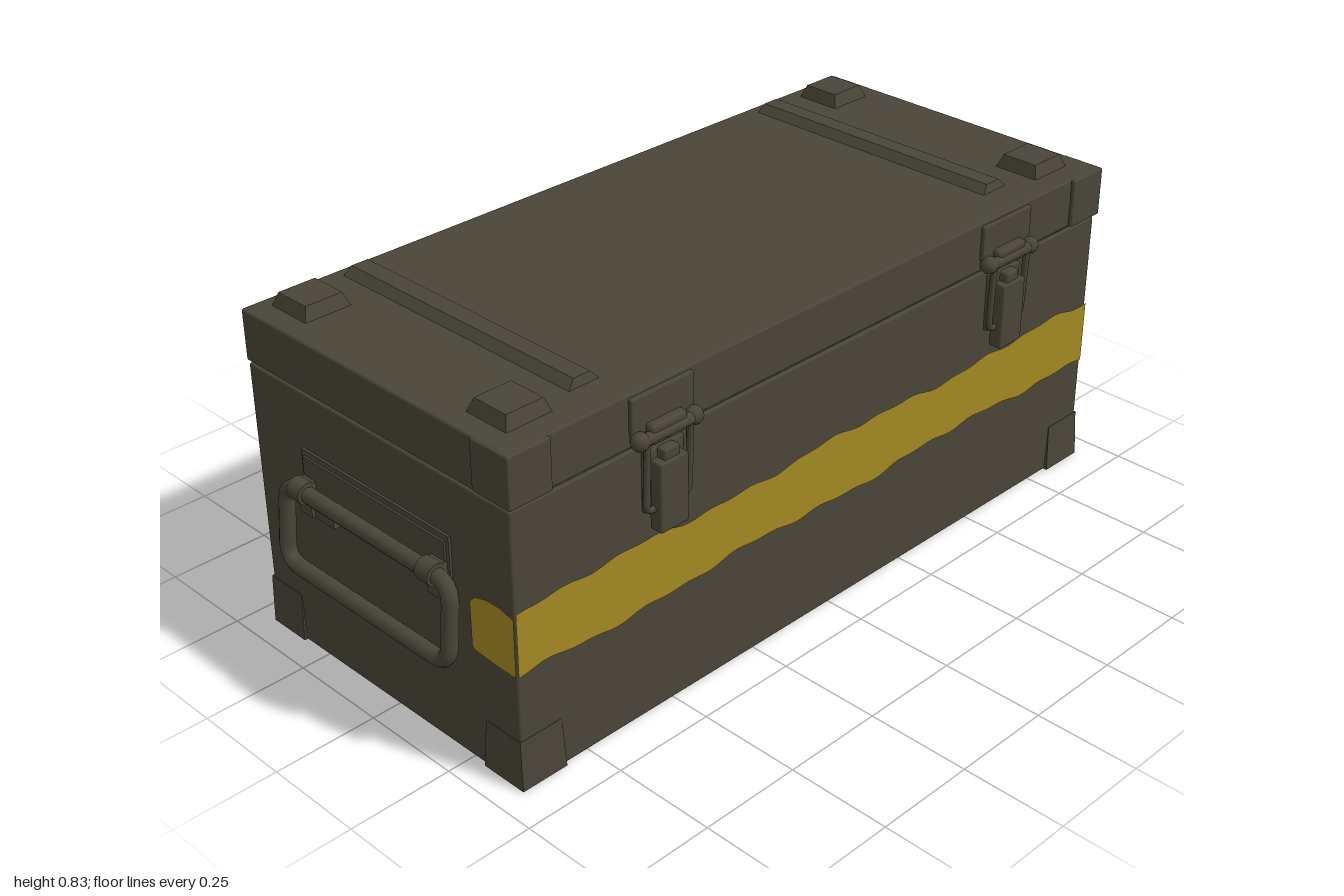
import * as THREE from 'three';
import { RoundedBoxGeometry } from 'three/addons/geometries/RoundedBoxGeometry.js';

const olive = new THREE.MeshStandardMaterial({ color: 0x4a4538 });
olive.name = 'olive paint';
const yellow = new THREE.MeshStandardMaterial({ color: 0xa38922 });
yellow.name = 'yellow stripe';

export function createModel() {
  const root = new THREE.Group();
  root.name = 'storageCase';

  const add = (name, geo, x, y, z, parent = root, mat = olive) => {
    const m = new THREE.Mesh(geo, mat);
    m.name = name;
    m.position.set(x, y, z);
    parent.add(m);
    return m;
  };
  // Box given by its limits, with softened edges when r is set
  const block = (name, x0, x1, y0, y1, z0, z1, parent = root, r = 0) => {
    const w = Math.abs(x1 - x0), h = y1 - y0, d = z1 - z0;
    const geo = r ? new RoundedBoxGeometry(w, h, d, 2, r) : new THREE.BoxGeometry(w, h, d);
    return add(name, geo, (x0 + x1) / 2, (y0 + y1) / 2, (z0 + z1) / 2, parent);
  };
  // Box whose top face is drawn in by an amount on x and z
  const taper = (w, h, d, ix, iz) => {
    const g = new THREE.BoxGeometry(w, h, d), p = g.attributes.position;
    for (let i = 0; i < p.count; i++) {
      if (p.getY(i) > 0) {
        p.setX(i, p.getX(i) - Math.sign(p.getX(i)) * ix);
        p.setZ(i, p.getZ(i) - Math.sign(p.getZ(i)) * iz);
      }
    }
    g.computeVertexNormals();
    return g;
  };
  const rod = (r, len, axis) => {
    const g = new THREE.CylinderGeometry(r, r, len, 14);
    return axis === 'x' ? g.rotateZ(Math.PI / 2) : g.rotateX(Math.PI / 2);
  };
  // Bent wire through corner points with rounded bends
  const wire = (pts, radius, bend) => {
    const path = new THREE.CurvePath(), n = pts.length;
    const toward = (a, b) => a.clone().add(b.clone().sub(a).setLength(bend));
    for (let i = 0; i < n; i++) {
      const a = pts[i], b = pts[(i + 1) % n], c = pts[(i + 2) % n];
      path.add(new THREE.LineCurve3(toward(a, b), toward(b, a)));
      path.add(new THREE.QuadraticBezierCurve3(toward(b, a), b, toward(b, c)));
    }
    return new THREE.TubeGeometry(path, 120, radius, 10, true);
  };

  // Box and lid, with a narrow recessed seam between them
  block('body', -0.93, 0.93, 0, 0.666, -0.438, 0.402, root, 0.006);
  block('seam', -0.922, 0.922, 0.655, 0.685, -0.43, 0.394);
  block('lid', -0.933, 0.933, 0.672, 0.795, -0.44, 0.402, root, 0.006);

  for (const s of [-1, 1]) {
    // Lid corner reinforcements
    block('lidCorner', s * 0.825, s * 0.936, 0.673, 0.794, 0.3, 0.412, root, 0.005);

    // Flared base corners
    for (const [z, out] of [[0.35, 0.01], [-0.386, 0.002]]) {
      const foot = taper(0.12, 0.12, 0.11 + out, 0.004, out * 0.7);
      add('baseCorner', foot, s * 0.876, 0.0605, z);
    }

    // Stacking pads and lid ribs
    for (const z of [0.285, -0.346]) {
      add('stackingPad', taper(0.118, 0.032, 0.118, 0.012, 0.012), s * 0.82, 0.81, z);
    }
    add('lidRib', taper(0.08, 0.02, 0.72, 0.018, 0.006), s * 0.648, 0.805, -0.05);

    // Side handle with its mounting plate and clips
    const handle = new THREE.Group();
    handle.name = s > 0 ? 'leftHandle' : 'rightHandle';
    root.add(handle);
    block('mountPlate', s * 0.925, s * 0.936, 0.405, 0.53, -0.265, 0.218, handle);
    block('mountPanel', s * 0.93, s * 0.941, 0.412, 0.516, -0.256, 0.208, handle);
    const top = s * 0.963, low = s * 0.98;
    add('handleBar', wire([
      new THREE.Vector3(top, 0.447, 0.251),
      new THREE.Vector3(top, 0.447, -0.291),
      new THREE.Vector3(low, 0.26, -0.291),
      new THREE.Vector3(low, 0.26, 0.251),
    ], 0.019, 0.045), 0, 0, 0, handle);
    for (const [z0, z1] of [[0.168, 0.21], [-0.257, -0.215]]) {
      add('clipSleeve', rod(0.026, z1 - z0, 'z'), top, 0.45, (z0 + z1) / 2, handle);
      block('clipTab', s * 0.93, s * 0.958, 0.388, 0.47, z0, z1, handle);
    }
    block('clipBase', s * 0.93, s * 0.95, 0.385, 0.425, -0.257, -0.15, handle);
  }

  // Front latches
  for (const cx of [-0.53, 0.573]) {
    const latch = new THREE.Group();
    latch.name = 'latch';
    latch.position.x = cx;
    root.add(latch);
    block('catchPlate', -0.087, 0.087, 0.7, 0.786, 0.395, 0.412, latch, 0.004);
    block('catchHook', -0.05, 0.05, 0.672, 0.72, 0.4, 0.432, latch, 0.01);
    add('hingeRod', rod(0.014, 0.17, 'x'), 0, 0.692, 0.424, latch);
    for (const s of [-1, 1]) {
      add('rodEnd', new THREE.SphereGeometry(0.021, 14, 10), s * 0.075, 0.692, 0.421, latch);
    }
    add('linkWire', wire([
      new THREE.Vector3(-0.06, 0.69, 0.426),
      new THREE.Vector3(0.06, 0.69, 0.426),
      new THREE.Vector3(0.06, 0.52, 0.42),
      new THREE.Vector3(-0.06, 0.52, 0.42),
    ], 0.008, 0.02), 0, 0, 0, latch);
    block('leverBase', -0.055, 0.055, 0.51, 0.655, 0.395, 0.414, latch, 0.004);
    block('lever', -0.04, 0.04, 0.467, 0.632, 0.408, 0.443, latch, 0.006);
    block('leverRidge', -0.022, 0.022, 0.53, 0.655, 0.41, 0.436, latch, 0.005);
  }

  // Painted band with uneven edges
  const wave = (x, p) => 0.006 * Math.sin(9 * x + p) + 0.004 * Math.sin(23 * x + 2 * p) + 0.003 * Math.sin(47 * x + p);
  const band = (u0, u1, amp, n) => {
    const up = [], down = [];
    for (let i = 0; i <= n; i++) {
      const u = u0 + (u1 - u0) * i / n;
      up.push(new THREE.Vector2(u, 0.434 + amp * wave(u, 1.2)));
      down.unshift(new THREE.Vector2(u, 0.28 + amp * wave(u, 4)));
    }
    return new THREE.ShapeGeometry(new THREE.Shape([...up, ...down]));
  };
  add('frontStripe', band(-0.928, 0.928, 1, 90), 0, 0, 0.4045, root, yellow);
  add('backStripe', band(-0.928, 0.928, 0.2, 40), 0, 0, -0.4405, root, yellow).rotation.y = Math.PI;

  // Short returns of the band on both ends
  for (const s of [-1, 1]) {
    const shape = new THREE.Shape([
      [0.401, 0.28], [0.401, 0.42], [0.36, 0.429], [0.32, 0.428], [0.285, 0.418],
      [0.268, 0.4], [0.268, 0.292], [0.275, 0.285], [0.35, 0.28],
    ].map(([z, y]) => new THREE.Vector2(-s * z, y)));
    add('sideStripe', new THREE.ShapeGeometry(shape), s * 0.932, 0, 0, root, yellow).rotation.y = s * Math.PI / 2;
  }

  return root;
}
